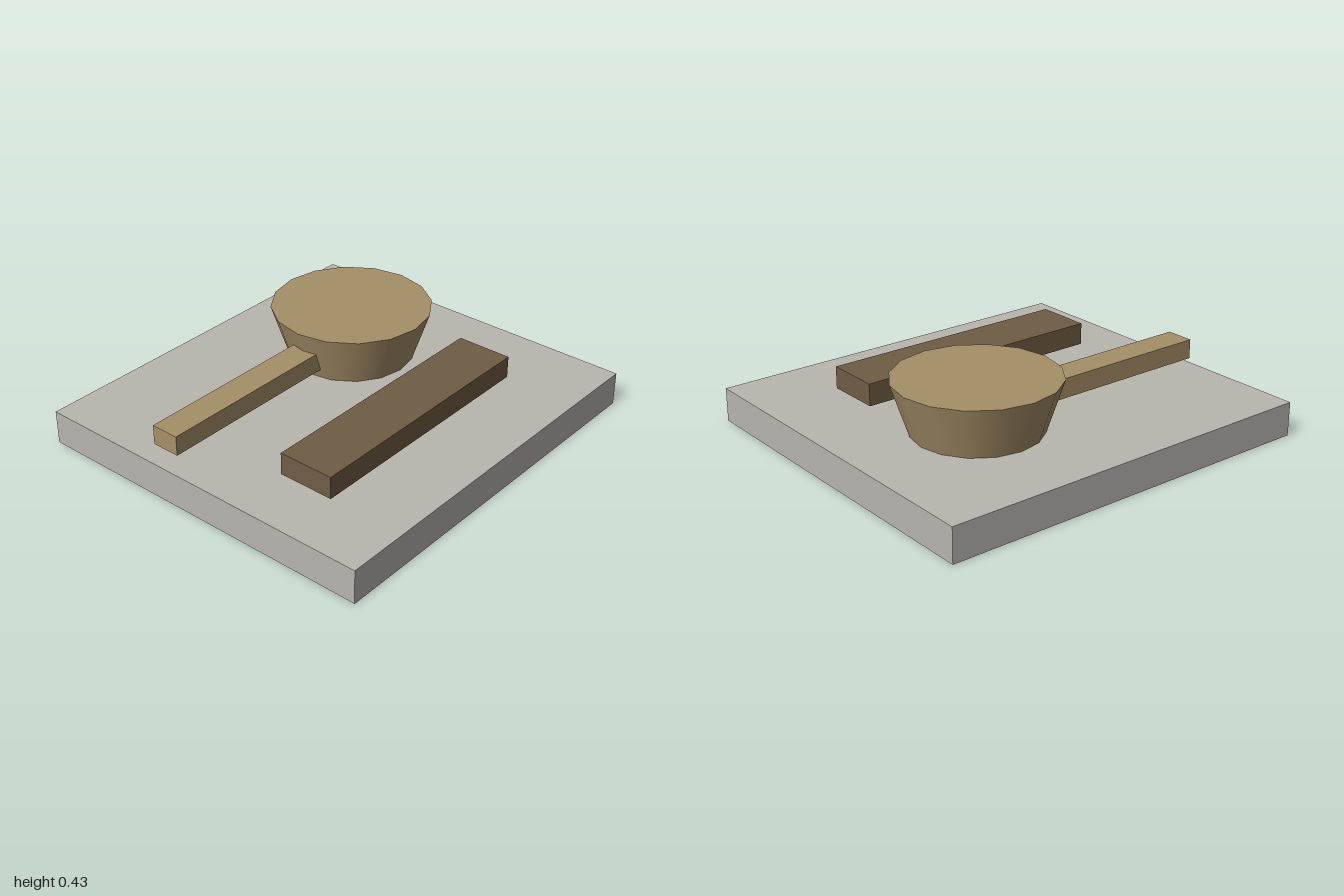
import * as THREE from 'three';

const paint = (name, color) => {
  const m = new THREE.MeshStandardMaterial({ color });
  m.name = name;
  return m;
};

export function createModel() {
  const group = new THREE.Group();
  const stone = paint('pale stone', 0xb9b5af);
  const lightWood = paint('light wood', 0xa68f68);
  const darkWood = paint('dark wood', 0x6f5d45);

  const add = (name, geometry, material, x, y, z) => {
    const mesh = new THREE.Mesh(geometry, material);
    mesh.name = name;
    mesh.position.set(x, y, z);
    group.add(mesh);
  };
  // Box given by its lower and upper limits on each axis
  const addBox = (name, material, [x0, x1], [y0, y1], [z0, z1]) =>
    add(name, new THREE.BoxGeometry(x1 - x0, y1 - y0, z1 - z0), material,
      (x0 + x1) / 2, (y0 + y1) / 2, (z0 + z1) / 2);

  // Slab that everything rests on
  addBox('baseSlab', stone, [-0.914, 0.914], [0, 0.171], [-1, 1]);

  // Tapered bowl of the ladle, closed on top
  add('ladleBowl', new THREE.CylinderGeometry(0.4, 0.315, 0.26, 16), lightWood, -0.23, 0.301, -0.345);

  // Ladle handle, running forward from inside the bowl
  addBox('ladleHandle', lightWood, [-0.303, -0.158], [0.224, 0.323], [-0.05, 0.94]);

  // Long bar beside the ladle, just clear of the slab
  addBox('sideBar', darkWood, [0.255, 0.54], [0.19, 0.302], [-0.603, 0.712]);

  return group;
}
